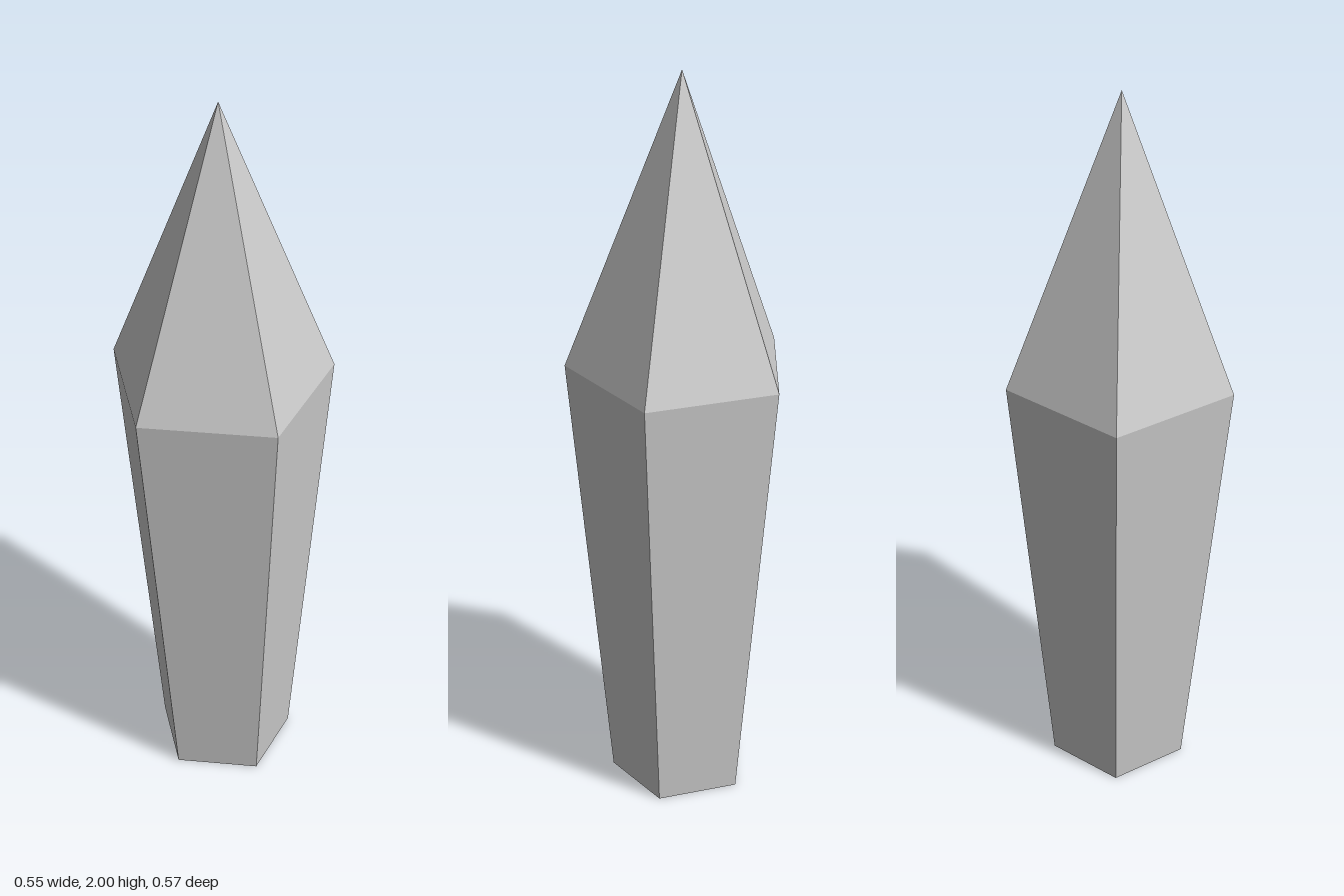
import * as THREE from 'three';

const SIDES = 5;
const BASE_R = 0.186, GIRDLE_R = 0.302;   // corner radii of the two pentagons
const GIRDLE_Y = 1.21, TIP_Y = 2;
const BASE_X = -0.018, GIRDLE_X = -0.029; // pentagon centres, off the middle of their width

export function createModel() {
  const group = new THREE.Group();
  group.name = 'crystal';
  const material = new THREE.MeshStandardMaterial({ color: 0xcccccc, flatShading: true });

  const addPart = (name, geometry) => {
    const mesh = new THREE.Mesh(geometry, material);
    mesh.name = name;
    group.add(mesh);
  };

  // Tapered five-sided shaft, one corner toward +x, leaning slightly with height
  const shaft = new THREE.CylinderGeometry(GIRDLE_R, BASE_R, GIRDLE_Y, SIDES, 1, true, Math.PI / 2);
  shaft.translate(0, GIRDLE_Y / 2, 0);
  const p = shaft.attributes.position;
  for (let i = 0; i < p.count; i++) {
    p.setX(i, p.getX(i) + THREE.MathUtils.lerp(BASE_X, GIRDLE_X, p.getY(i) / GIRDLE_Y));
  }
  shaft.computeVertexNormals();
  addPart('shaft', shaft);

  // Pointed tip
  const tipHeight = TIP_Y - GIRDLE_Y;
  const tip = new THREE.ConeGeometry(GIRDLE_R, tipHeight, SIDES, 1, true, Math.PI / 2);
  tip.translate(GIRDLE_X, GIRDLE_Y + tipHeight / 2, 0);
  addPart('tip', tip);

  // Flat underside
  const base = new THREE.CircleGeometry(BASE_R, SIDES);
  base.rotateX(Math.PI / 2).translate(BASE_X, 0, 0);
  addPart('base', base);

  return group;
}
